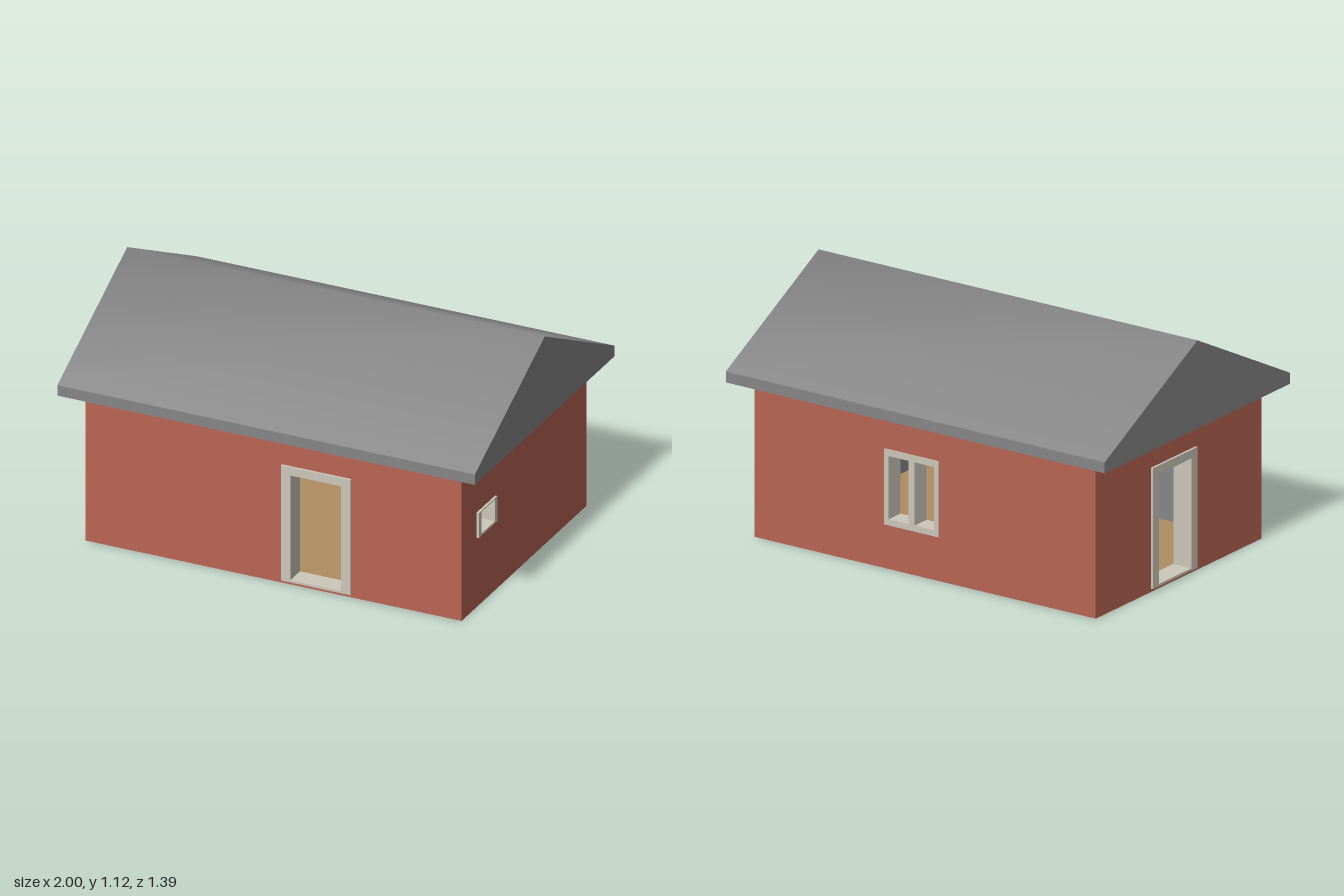
import * as THREE from 'three';
import { toCreasedNormals } from 'three/addons/utils/BufferGeometryUtils.js';

const mat = (name, color) => new THREE.MeshStandardMaterial({ name, color });

const WALL_H = 0.71, HALF_X = 0.9, HALF_Z = 0.62, BRICK = 0.07, LINING = 0.01;

// Each opening: outer frame [u0, y0, u1, y1] and the panes cut through it
const door = (u, y0 = 0.015) => ({
  name: 'doorFrame', outer: [u - 0.167, y0, u + 0.167, 0.57],
  panes: [[u - 0.122, 0.026, u + 0.122, 0.53]], out: 0.011,
});
const sideWindow = {
  name: 'smallWindowFrame', outer: [-0.47, 0.334, -0.286, 0.455],
  panes: [[-0.445, 0.344, -0.31, 0.45]], out: 0.011,
};
const backWindow = {
  name: 'doubleWindowFrame', outer: [-0.213, 0.202, 0.073, 0.55],
  panes: [[-0.19, 0.23, -0.086, 0.52], [-0.052, 0.23, 0.05, 0.52]], out: 0.005,
};

function trace(path, [x0, y0, x1, y1]) {
  path.moveTo(x0, y0);
  path.lineTo(x1, y0);
  path.lineTo(x1, y1);
  path.lineTo(x0, y1);
  path.closePath();
  return path;
}

// Rectangular slab with rectangular holes, from z0 to z1
function slab(outer, holes, z0, z1) {
  const shape = trace(new THREE.Shape(), outer);
  for (const h of holes) shape.holes.push(trace(new THREE.Path(), h));
  return new THREE.ExtrudeGeometry(shape, { depth: z1 - z0, bevelEnabled: false }).translate(0, 0, z0);
}

export function createModel() {
  const model = new THREE.Group();
  model.name = 'house';
  const red = mat('brickRed', 0xb96553);
  const roofGrey = mat('roofGrey', 0x868687);
  const innerGrey = mat('innerWallGrey', 0x86868a);
  const trim = mat('trimBeige', 0xccc7ba);
  const tan = mat('floorTan', 0xb08d60);

  const add = (parent, name, geometry, material) => {
    const mesh = new THREE.Mesh(geometry, material);
    mesh.name = name;
    parent.add(mesh);
    return mesh;
  };

  // Walls: outward is local +z, with an inner lining and a framed opening
  const inX = HALF_X - BRICK, inZ = HALF_Z - BRICK;
  const walls = [
    ['frontWall', 0, [0, HALF_Z], HALF_X, inX, door(0.207)],
    ['backWall', Math.PI, [0, -HALF_Z], HALF_X, inX, backWindow],
    ['leftWall', Math.PI / 2, [HALF_X, 0], inZ, inZ, sideWindow],
    ['rightWall', -Math.PI / 2, [-HALF_X, 0], inZ, inZ, door(-0.04)],
  ];
  for (const [name, turn, [x, z], half, innerHalf, opening] of walls) {
    const wall = new THREE.Group();
    wall.name = name;
    wall.position.set(x, 0, z);
    wall.rotation.y = turn;
    const hole = [opening.outer];
    add(wall, name + 'Outside', slab([-half, 0, half, WALL_H], hole, -BRICK, 0), red);
    add(wall, name + 'Lining', slab([-innerHalf, 0, innerHalf, WALL_H], hole, -BRICK - LINING, -BRICK), innerGrey);
    add(wall, opening.name, slab(opening.outer, opening.panes, -BRICK - LINING - 0.005, opening.out), trim);
    model.add(wall);
  }

  // Base and floor
  const plate = (name, y0, y1, material) =>
    add(model, name, new THREE.BoxGeometry(2 * inX, y1 - y0, 2 * inZ).translate(0, (y0 + y1) / 2, 0), material);
  plate('base', 0, 0.008, red);
  plate('floor', 0.008, 0.016, tan);

  // Gabled roof with shallow eaves; slopes shade smoothly over the ridge
  const gable = new THREE.Shape([
    [-0.695, WALL_H], [0.695, WALL_H], [0.695, 0.76], [0, 1.115], [-0.695, 0.76],
  ].map(([a, b]) => new THREE.Vector2(a, b)));
  const roof = new THREE.ExtrudeGeometry(gable, { depth: 2, bevelEnabled: false })
    .translate(0, 0, -1).rotateY(Math.PI / 2);
  add(model, 'roof', toCreasedNormals(roof, Math.PI / 3), roofGrey);

  return model;
}
